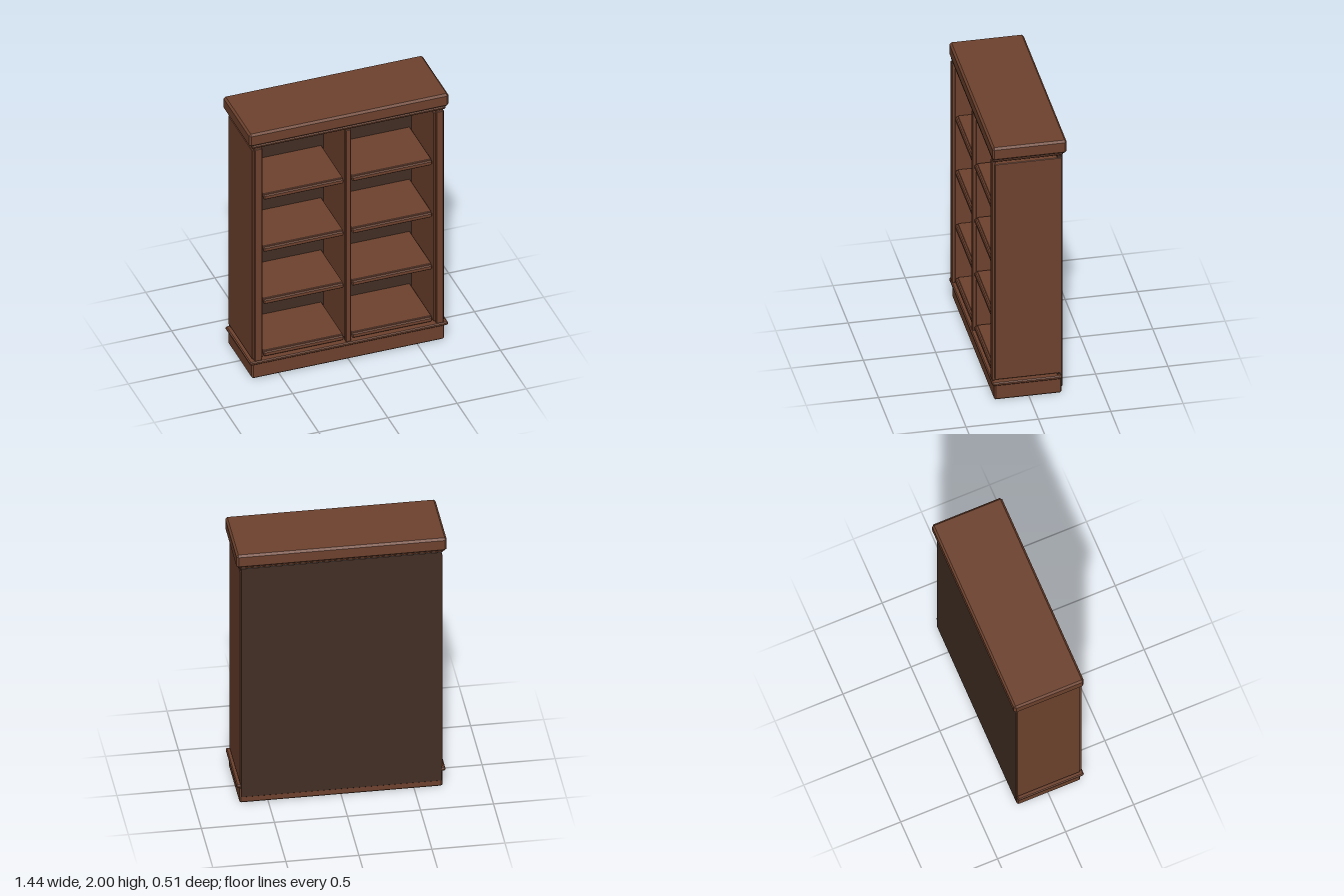
import * as THREE from 'three';
import { ConvexGeometry } from 'three/addons/geometries/ConvexGeometry.js';

const wood = new THREE.MeshStandardMaterial({ color: 0x6e422e });
wood.name = 'warmWood';
const darkWood = new THREE.MeshStandardMaterial({ color: 0x422e24 });
darkWood.name = 'darkBackWood';

// Box with chamfered edges, given by its min/max on each axis
function board(parent, name, [x0, x1], [y0, y1], [z0, z1], c = 0.005, material = wood) {
  const h = [(x1 - x0) / 2, (y1 - y0) / 2, (z1 - z0) / 2];
  const points = [];
  for (const sx of [-1, 1]) for (const sy of [-1, 1]) for (const sz of [-1, 1]) {
    for (let axis = 0; axis < 3; axis++) {
      const inset = h.map((v, i) => (i === axis ? v : v - c));
      points.push(new THREE.Vector3(sx * inset[0], sy * inset[1], sz * inset[2]));
    }
  }
  const mesh = new THREE.Mesh(new ConvexGeometry(points), material);
  mesh.name = name;
  mesh.position.set((x0 + x1) / 2, (y0 + y1) / 2, (z0 + z1) / 2);
  parent.add(mesh);
  return mesh;
}

export function createModel() {
  const model = new THREE.Group();
  model.name = 'bookcase';

  // Plinth and its moulding
  board(model, 'plinth', [-0.695, 0.695], [0, 0.125], [-0.225, 0.24], 0.01);
  board(model, 'plinthMoulding', [-0.715, 0.715], [0.12, 0.145], [-0.225, 0.257], 0.007);

  // Crown and the thin moulding under it
  board(model, 'crownMoulding', [-0.7, 0.7], [1.877, 1.902], [-0.235, 0.25], 0.008);
  board(model, 'crown', [-0.72, 0.72], [1.9, 2], [-0.257, 0.257], 0.014);

  // Back panel
  board(model, 'backPanel', [-0.687, 0.687], [0.05, 1.88], [-0.232, -0.195], 0.002, darkWood);

  // Side panels with front posts
  for (const s of [-1, 1]) {
    const span = (a, b) => (s > 0 ? [a, b] : [-b, -a]);
    const side = s > 0 ? 'left' : 'right';
    board(model, side + 'SidePanel', span(0.617, 0.693), [0.158, 1.856], [-0.228, 0.235], 0.003);
    board(model, side + 'Post', span(0.63, 0.682), [0.147, 1.872], [0.23, 0.254], 0.004);
  }

  // Centre divider with front strip
  board(model, 'divider', [-0.018, 0.014], [0.158, 1.856], [-0.2, 0.225], 0.002);
  board(model, 'dividerStrip', [-0.021, 0.017], [0.147, 1.872], [0.22, 0.248], 0.004);

  // Shelves with a front lip, four in each bay
  const bays = [[-0.61, -0.033], [0.03, 0.606]];
  bays.forEach((bay, b) => {
    for (let i = 0; i < 4; i++) {
      const top = 0.2 + i * 0.425;
      const shelf = new THREE.Group();
      shelf.name = `shelf${b * 4 + i + 1}`;
      board(shelf, 'shelfBoard', bay, [top - 0.03, top], [-0.2, 0.22], 0.003);
      board(shelf, 'shelfLip', bay, [top - 0.04, top - 0.004], [0.21, 0.238], 0.007);
      model.add(shelf);
    }
  });

  return model;
}
